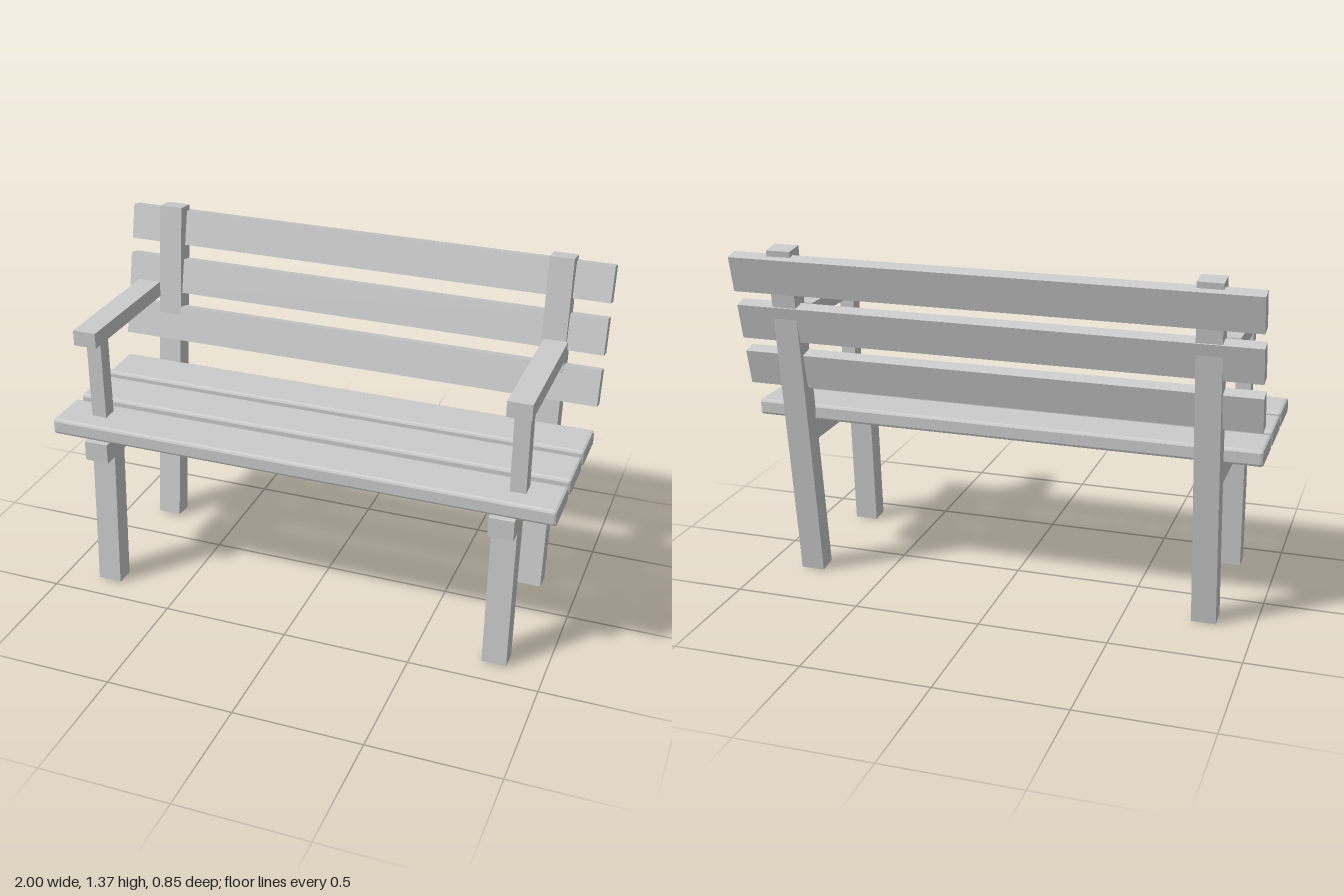
import * as THREE from 'three';
import { RoundedBoxGeometry } from 'three/addons/geometries/RoundedBoxGeometry.js';

const material = new THREE.MeshStandardMaterial({ color: 0xcccccc, flatShading: true });

function add(parent, name, geometry, x, y, z, tilt = 0) {
  const mesh = new THREE.Mesh(geometry, material);
  mesh.name = name;
  mesh.position.set(x, y, z);
  mesh.rotation.x = tilt;
  parent.add(mesh);
  return mesh;
}

// Square beam running between two points [y, z] of a side plane
function beam(parent, name, x, width, depth, [y0, z0], [y1, z1]) {
  const length = Math.hypot(y1 - y0, z1 - z0);
  const geometry = new THREE.BoxGeometry(width, length, depth);
  add(parent, name, geometry, x, (y0 + y1) / 2, (z0 + z1) / 2, Math.atan2(z1 - z0, y1 - y0));
}

export function createModel() {
  const bench = new THREE.Group();
  bench.name = 'bench';

  // Seat slats with chamfered edges
  const seat = new THREE.Group();
  seat.name = 'seat';
  bench.add(seat);
  const seatSlat = new RoundedBoxGeometry(2, 0.064, 0.192, 1, 0.011);
  for (const z of [0.314, 0.083, -0.145]) add(seat, 'seatSlat', seatSlat, 0, 0.682, z);

  // Leaning backrest slats
  const backrest = new THREE.Group();
  backrest.name = 'backrest';
  bench.add(backrest);
  const backSlat = new THREE.BoxGeometry(2, 0.141, 0.055);
  for (let i = 0; i < 3; i++) {
    add(backrest, 'backSlat', backSlat, 0, 0.875 + i * 0.1945, -0.283 - i * 0.0485, -0.233);
  }

  // Mirrored side frames: legs, rail and armrest
  for (const side of [-1, 1]) {
    const frame = new THREE.Group();
    frame.name = side > 0 ? 'leftFrame' : 'rightFrame';
    bench.add(frame);
    const legX = side * 0.807;
    const armX = side * 0.838;
    beam(frame, 'backLeg', legX, 0.095, 0.078, [0.005, -0.193], [1.361, -0.358]);
    beam(frame, 'frontLeg', legX, 0.095, 0.079, [0.003, 0.3615], [0.62, 0.326]);
    add(frame, 'seatRail', new THREE.BoxGeometry(0.095, 0.08, 0.685), legX, 0.61, 0.083);
    add(frame, 'armPost', new THREE.BoxGeometry(0.06, 0.35, 0.061), armX, 0.875, 0.297);
    add(frame, 'armrest', new THREE.BoxGeometry(0.092, 0.061, 0.547), armX, 1.071, 0.117);
  }
  return bench;
}
